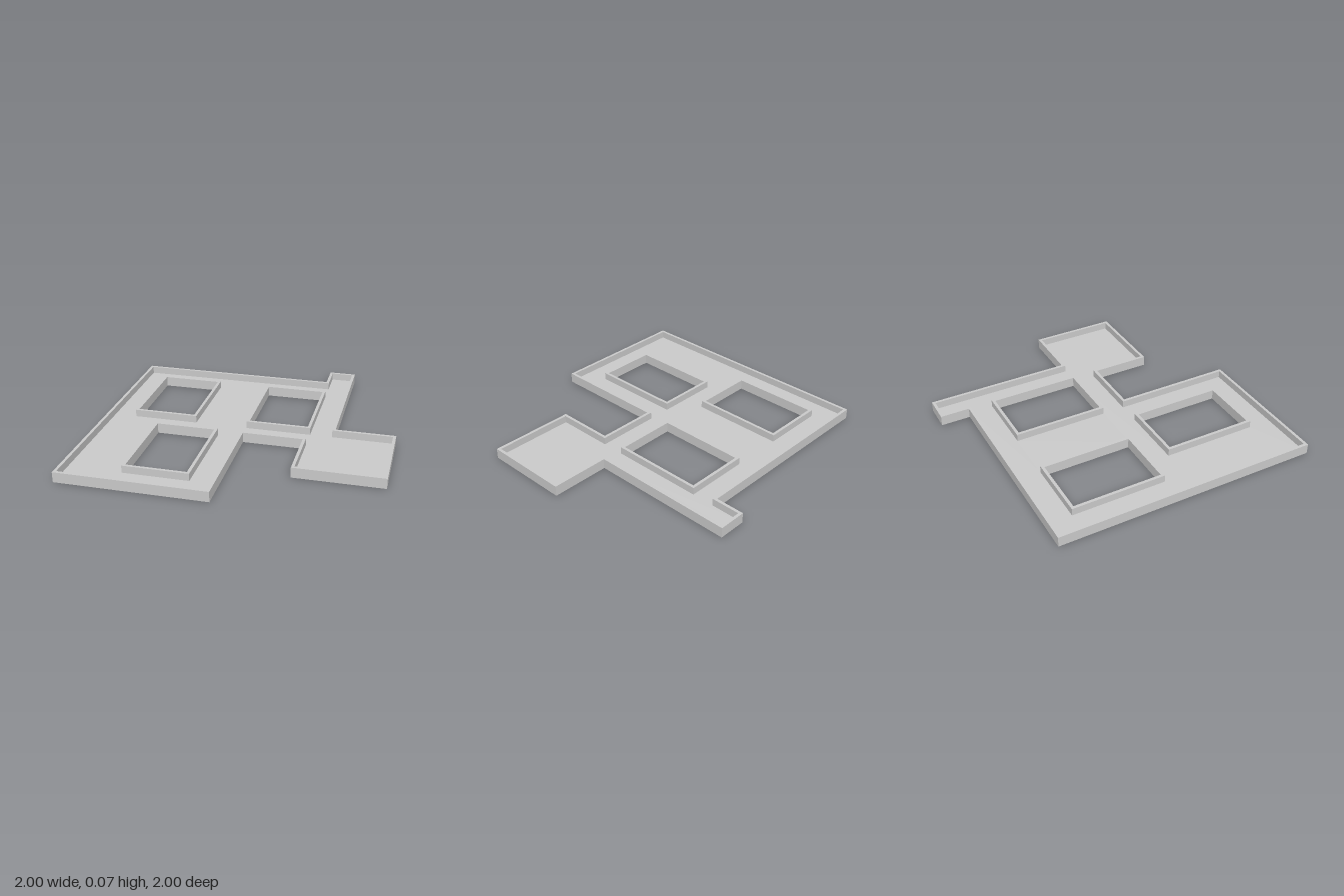
import * as THREE from 'three';
import { mergeGeometries } from 'three/addons/utils/BufferGeometryUtils.js';

const HEIGHT = 0.07, FLOOR = 0.02, WALL = 0.02;

// Loops of [x, z] corners, ordered so the solid lies on the same side of every edge
const outline = [
  [-1, -0.8], [0.405, -0.8], [0.405, -1], [0.595, -1], [0.595, 0], [1, 0],
  [1, 0.595], [0.405, 0.595], [0.405, 0.195], [0, 0.195], [0, 1], [-1, 1],
];
const opening = (x0, x1, z0, z1) => [[x0, z0], [x0, z1], [x1, z1], [x1, z0]];
const openings = [
  opening(-0.805, -0.4, -0.605, 0),
  opening(0, 0.405, -0.605, 0),
  opening(-0.6, -0.2, 0.195, 0.8),
];

// Shift a right-angled loop into the solid by t
function inset(loop, t) {
  const normal = (a, b) => [-Math.sign(b[1] - a[1]), Math.sign(b[0] - a[0])];
  return loop.map((p, i) => {
    const n = normal(loop.at(i - 1), p);
    const m = normal(p, loop[(i + 1) % loop.length]);
    return [p[0] + t * (n[0] + m[0]), p[1] + t * (n[1] + m[1])];
  });
}

// Flat horizontal face with holes, facing up or down
function slab(outer, holes, y, up) {
  const s = up ? -1 : 1;
  const points = (loop) => loop.map(([x, z]) => new THREE.Vector2(x, s * z));
  const shape = new THREE.Shape(points(outer));
  shape.holes = holes.map((h) => new THREE.Path(points(h)));
  const g = new THREE.ShapeGeometry(shape).rotateX(s * Math.PI / 2).translate(0, y, 0).toNonIndexed();
  g.deleteAttribute('uv');
  return g;
}

// Vertical faces along a loop, facing to the solid side
function strip(loop, y0, y1) {
  const pos = [];
  loop.forEach(([ax, az], i) => {
    const [bx, bz] = loop[(i + 1) % loop.length];
    pos.push(ax, y0, az, bx, y0, bz, bx, y1, bz, ax, y0, az, bx, y1, bz, ax, y1, az);
  });
  const g = new THREE.BufferGeometry();
  g.setAttribute('position', new THREE.Float32BufferAttribute(pos, 3));
  g.computeVertexNormals();
  return g;
}

export function createModel() {
  const group = new THREE.Group();
  const material = new THREE.MeshStandardMaterial({ color: 0xcccccc, flatShading: true });
  const add = (name, geometry) => {
    const mesh = new THREE.Mesh(geometry, material);
    mesh.name = name;
    group.add(mesh);
  };

  // Underside and sunken floor
  add('underside', slab(outline, openings, 0, false));
  add('floor', slab(inset(outline, WALL), openings.map((o) => inset(o, WALL)), FLOOR, true));

  // Raised walls round the outer edge and each opening
  const wall = (loop, isOuter) => {
    const inner = inset(loop, WALL);
    return mergeGeometries([
      strip([...loop].reverse(), 0, HEIGHT),
      strip(inner, FLOOR, HEIGHT),
      isOuter ? slab(loop, [inner], HEIGHT, true) : slab(inner, [loop], HEIGHT, true),
    ]);
  };
  add('outerWall', wall(outline, true));
  openings.forEach((o, i) => add(`openingWall${i + 1}`, wall(o, false)));

  return group;
}
